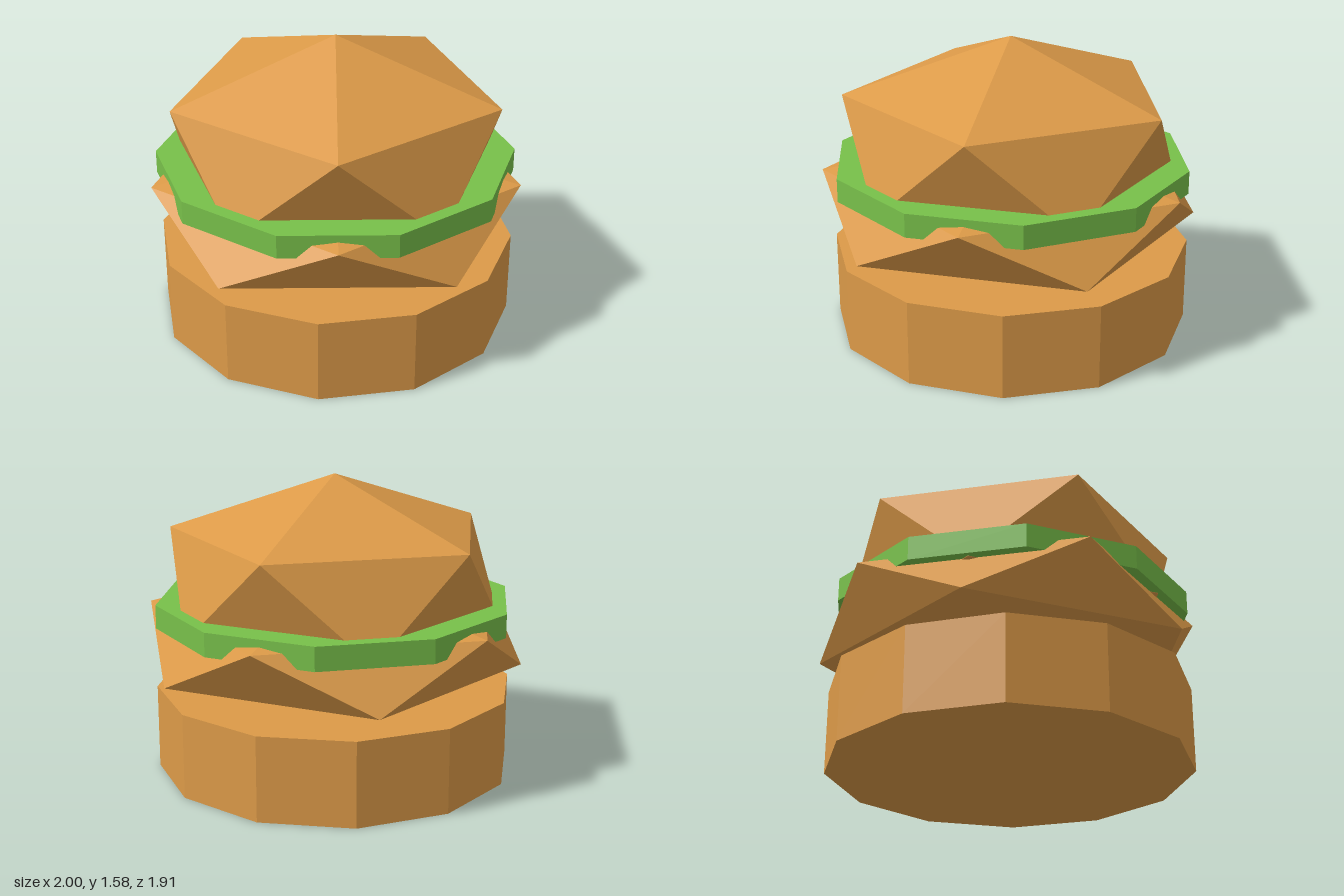
import * as THREE from 'three';

export function createModel() {
  const group = new THREE.Group();
  const bread = new THREE.MeshStandardMaterial({ color: 0xdc9a48, flatShading: true });
  bread.name = 'toasted bread';
  const green = new THREE.MeshStandardMaterial({ color: 0x78c04a, flatShading: true });
  green.name = 'lettuce green';

  const add = (name, geometry, material, y) => {
    const mesh = new THREE.Mesh(geometry, material);
    mesh.name = name;
    mesh.position.y = y;
    group.add(mesh);
  };

  // Squashed icosahedron standing on a corner, upper ring pointing to +x
  const tilt = -Math.atan(2 / (1 + Math.sqrt(5)));
  const lump = (radius, halfHeight) =>
    new THREE.IcosahedronGeometry(1, 0).rotateZ(tilt).scale(radius, halfHeight, radius);

  // Twelve-sided base
  add('bottomBun', new THREE.CylinderGeometry(0.955, 0.955, 0.45, 12), bread, 0.225);
  // Flattened filling, its upper corners poking through the lettuce
  add('patty', lump(1.118, 0.335), bread, 0.72);
  // Ten-sided slab
  add('lettuce', new THREE.CylinderGeometry(0.955, 0.955, 0.125, 10), green, 0.8625);
  // Tall crown
  add('topBun', lump(0.985, 0.543), bread, 1.04);

  return group;
}
